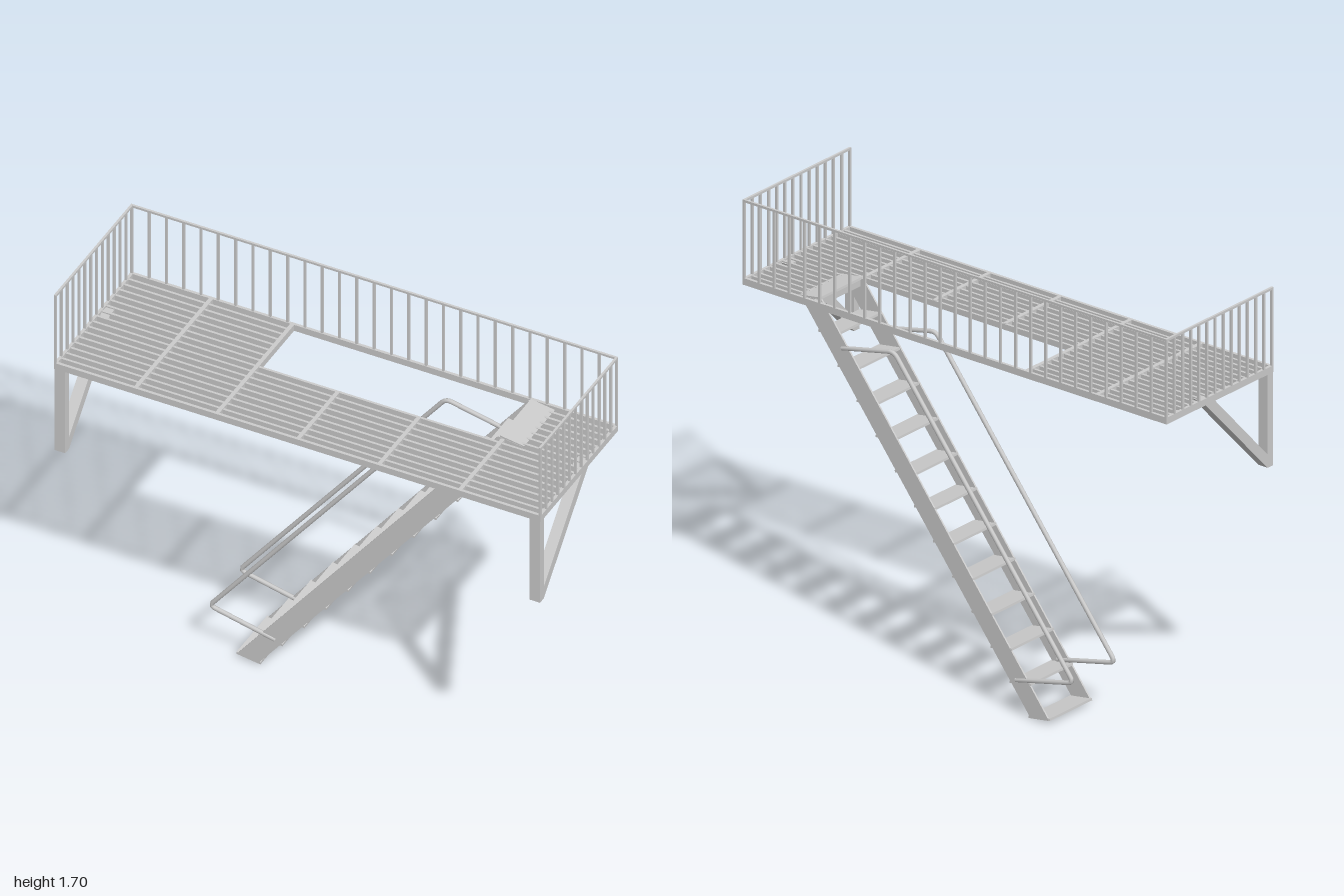
import * as THREE from 'three';

const material = new THREE.MeshStandardMaterial({ color: 0xcccccc, side: THREE.DoubleSide });

function add(parent, geometry, name, x = 0, y = 0, z = 0) {
  const mesh = new THREE.Mesh(geometry, material);
  mesh.name = name;
  mesh.position.set(x, y, z);
  parent.add(mesh);
  return mesh;
}

// Box given by its minimum and maximum on each axis
function bar(parent, name, x0, x1, y0, y1, z0, z1) {
  return add(parent, new THREE.BoxGeometry(x1 - x0, y1 - y0, z1 - z0), name,
    (x0 + x1) / 2, (y0 + y1) / 2, (z0 + z1) / 2);
}

function group(parent, name) {
  const g = new THREE.Group();
  g.name = name;
  parent.add(g);
  return g;
}

const polygon = pts => new THREE.Shape(pts.map(p => new THREE.Vector2(...p)));
const plate = (shape, depth) => new THREE.ExtrudeGeometry(shape, { depth, bevelEnabled: false });

const W = 1, D = 0.308;            // half width and half depth of the platform
const Y0 = 1.365, Y1 = 1.392;      // underside and top of the platform
const RAIL = 1.704;                // top of the railing
const HOLE = { x0: -0.333, x1: 0.665, z: -0.02 };

function buildDeck(root) {
  const deck = group(root, 'platform');
  const t = 0.012;
  // Outer frame
  for (const z of [-D, D - t]) bar(deck, 'frameLong', -W, W, Y0, Y1, z, z + t);
  for (const x of [-W, W - t]) bar(deck, 'frameEnd', x, x + t, Y0, Y1, -D + t, D - t);
  // Cross bars, the middle ones stopping at the stair opening
  for (const x of [-0.667, -0.333, 0, 0.333, 0.665]) {
    const z0 = x > -0.3 && x < 0.6 ? HOLE.z : -D + t;
    bar(deck, 'crossBar', x - 0.008, x + 0.008, Y0, Y1, z0, D - t);
  }
  // Grating slats, cut where they would cross the stair opening
  const n = 17;
  for (let i = 1; i < n; i++) {
    const z = -D + t / 2 + i * (2 * D - t) / n;
    const spans = z < HOLE.z ? [[-W + t, HOLE.x0], [HOLE.x1, W - t]] : [[-W + t, W - t]];
    for (const [a, b] of spans) bar(deck, 'slat', a, b, Y0 + 0.002, Y1 - 0.002, z - 0.005, z + 0.005);
  }
}

function buildRailing(root) {
  const railing = group(root, 'railing');
  const t = 0.009, h = t / 2;
  // Top rails along the back and both ends
  bar(railing, 'backRail', -W, W, RAIL - t, RAIL, -D, -D + t);
  for (const x of [-W, W - t]) bar(railing, 'endRail', x, x + t, RAIL - t, RAIL, -D + t, D);
  // Balusters
  const baluster = (x, z) => bar(railing, 'baluster', x - h, x + h, Y1, RAIL - t, z - h, z + h);
  for (let i = 0; i <= 28; i++) baluster(-W + h + i * (2 * W - t) / 28, -D + h);
  for (let i = 1; i <= 13; i++) {
    for (const s of [-1, 1]) baluster(s * (W - h), -D + h + i * (2 * D - t) / 13);
  }
}

function buildBrackets(root) {
  // Wall post and diagonal brace, drawn in (z, y)
  const post = polygon([[0.308, 0.992], [0.278, 0.992], [0.278, Y0], [0.308, Y0]]);
  const brace = polygon([[0.278, 0.992], [0.278, 1.045], [-0.045, 1.385], [-0.1, 1.385]]);
  for (const s of [-1, 1]) {
    const bracket = group(root, s > 0 ? 'leftBracket' : 'rightBracket');
    for (const [name, part] of [['post', post], ['brace', brace]]) {
      const g = plate(part, 0.044);
      g.translate(0, 0, -0.022);
      g.rotateY(-Math.PI / 2);      // shape x becomes z
      add(bracket, g, name, s * 0.975);
    }
  }
}

function buildStairs(root) {
  const stairs = group(root, 'stairs');
  const zBack = -0.287, zFront = -0.04, t = 0.007;
  const side = polygon([[-0.428, 0.017], [-0.341, 0.004], [0.742, 1.384], [0.645, 1.396]]);
  // Handrail with rounded bends
  const pts = [[0.55, 1.229], [0.305, 1.282], [-0.542, 0.198], [-0.27, 0.135]]
    .map(p => new THREE.Vector3(p[0], p[1], 0));
  const path = new THREE.CurvePath();
  const near = (a, b) => a.clone().add(b.clone().sub(a).setLength(0.025));
  const bends = [1, 2].map(i => [near(pts[i], pts[i - 1]), pts[i], near(pts[i], pts[i + 1])]);
  path.add(new THREE.LineCurve3(pts[0], bends[0][0]));
  path.add(new THREE.QuadraticBezierCurve3(...bends[0]));
  path.add(new THREE.LineCurve3(bends[0][2], bends[1][0]));
  path.add(new THREE.QuadraticBezierCurve3(...bends[1]));
  path.add(new THREE.LineCurve3(bends[1][2], pts[3]));
  const rail = new THREE.TubeGeometry(path, 160, 0.009, 8);
  for (const z of [zBack, zFront - t]) {
    add(stairs, plate(side, t), 'stringer', 0, 0, z);
    add(stairs, rail, 'handrail', 0, 0, z + t / 2);
  }
  // Slightly tilted treads
  const tread = new THREE.BoxGeometry(0.1, 0.009, zFront - zBack - 0.002);
  for (let i = 0; i < 13; i++) {
    const step = add(stairs, tread, 'tread', -0.381 + i * 0.0902, 0.013 + i * 0.1148, (zBack + zFront) / 2);
    step.rotation.z = -0.15;
  }
}

export function createModel() {
  const root = new THREE.Group();
  root.name = 'fireEscape';
  buildDeck(root);
  buildRailing(root);
  buildBrackets(root);
  buildStairs(root);
  return root;
}
